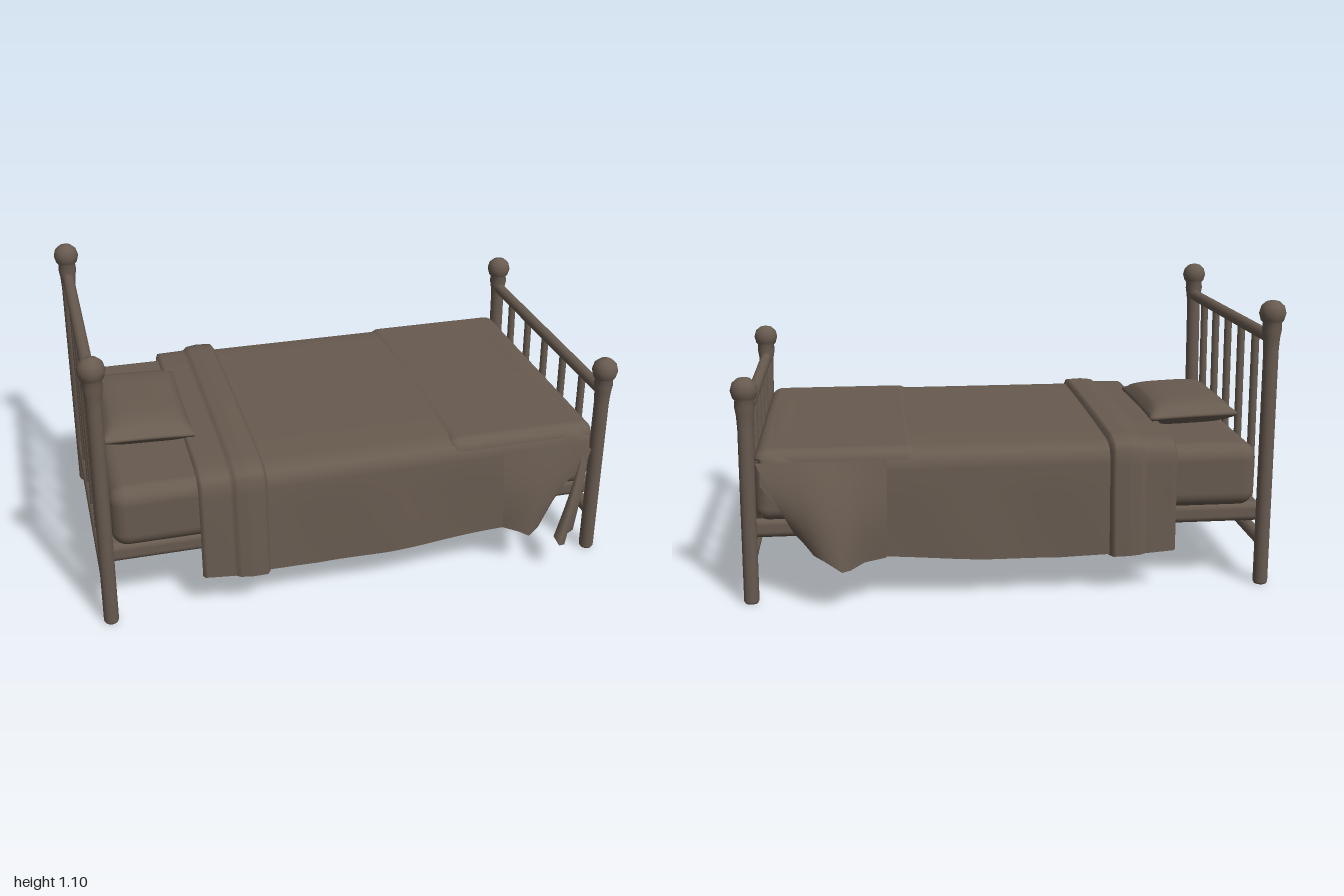
import * as THREE from 'three';
import { RoundedBoxGeometry } from 'three/addons/geometries/RoundedBoxGeometry.js';
import { mergeVertices } from 'three/addons/utils/BufferGeometryUtils.js';

const brown = new THREE.MeshStandardMaterial({ color: 0x685b50, side: THREE.DoubleSide });
brown.name = 'dull brown';
const UP = new THREE.Vector3(0, 1, 0);
const V = (x, y, z) => new THREE.Vector3(x, y, z);

function add(parent, name, geometry, x = 0, y = 0, z = 0) {
  const mesh = new THREE.Mesh(geometry, brown);
  mesh.name = name;
  mesh.position.set(x, y, z);
  parent.add(mesh);
  return mesh;
}

// Round bar between two points
function bar(parent, name, a, b, r) {
  const d = b.clone().sub(a);
  const mesh = add(parent, name, new THREE.CylinderGeometry(r, r, d.length(), 14));
  mesh.position.copy(a).add(b).multiplyScalar(0.5);
  mesh.quaternion.setFromUnitVectors(UP, d.normalize());
}

// Slightly leaning post with a flared neck and ball finial
function post(parent, name, foot, ball) {
  const d = ball.clone().sub(foot), h = d.length();
  const profile = [[0, 0], [0.024, 0], [0.028, 0.008], [0.028, h - 0.14], [0.031, h - 0.09],
    [0.036, h - 0.06], [0.034, h - 0.035], [0.042, h - 0.026], [0.049, h], [0.042, h + 0.026],
    [0.024, h + 0.042], [0, h + 0.048]].map(p => new THREE.Vector2(...p));
  const mesh = add(parent, name, new THREE.LatheGeometry(profile, 18));
  mesh.position.copy(foot);
  mesh.quaternion.setFromUnitVectors(UP, d.normalize());
}

// Smooth surface through a grid of points
function surface(rows) {
  const n = rows[0].length, index = [];
  for (let i = 0; i < rows.length - 1; i++) {
    for (let j = 0; j < n - 1; j++) {
      const a = i * n + j, b = a + n;
      index.push(a, a + 1, b, b, a + 1, b + 1);
    }
  }
  const g = new THREE.BufferGeometry().setFromPoints(rows.flat());
  g.setIndex(index);
  g.computeVertexNormals();
  return g;
}

// Linear lookup in a short table of [x, value]
function lookup(table, x) {
  for (let i = 1; i < table.length; i++) {
    const [x0, v0] = table[i - 1], [x1, v1] = table[i];
    if (x <= x1) return v0 + (v1 - v0) * (x - x0) / (x1 - x0);
  }
  return table[table.length - 1][1];
}

// Cloth draped over the bed: a cross-section swept along x
function drape(x0, x1, steps, hem, offset) {
  const rows = [];
  for (let i = 0; i <= steps; i++) {
    const x = x0 + (x1 - x0) * i / steps;
    const h = lookup(hem, x), o = lookup(offset, x);
    const wave = 0.006 * Math.sin(x * 11);
    const side = [[0.572 + wave, h], [0.568 + wave, h + (0.5 - h) * 0.35], [0.564, h + (0.5 - h) * 0.7],
      [0.56, 0.5], [0.554, 0.53], [0.538, 0.553], [0.51, 0.567], [0.46, 0.572], [0.25, 0.575]];
    const right = side.map(([z, y], k) => V(x, y + (k > 3 ? o : 0), z + (k < 6 ? o : 0)));
    const left = right.map(p => V(p.x, p.y, -p.z)).reverse();
    rows.push([...right, V(x, 0.576 + o, 0), ...left]);
  }
  return surface(rows);
}

// Loose cloth fanning out from a short top edge to a pleated hem, with a belly
function fan(top0, top1, hem, belly) {
  const rows = [];
  for (let i = 0; i <= 8; i++) {
    const t = i / 8;
    rows.push(hem.map((p, k) => {
      const q = top0.clone().lerp(top1, k / (hem.length - 1)).lerp(V(...p), t);
      q.z += belly * Math.sin(Math.PI * t);
      return q;
    }));
  }
  return surface(rows);
}

function pillowGeometry(w, h, d) {
  let g = new THREE.BoxGeometry(2, 2, 2, 18, 4, 22);
  g.deleteAttribute('uv');
  g.deleteAttribute('normal');
  g = mergeVertices(g);
  const p = g.attributes.position;
  for (let i = 0; i < p.count; i++) {
    const u = p.getX(i), v = p.getY(i), s = p.getZ(i);
    const puff = 0.22 + 0.78 * Math.pow((1 - u ** 4) * (1 - s ** 4), 0.55);
    const round = 1 - 0.04 * v * v;
    p.setXYZ(i, u * round * (0.97 + 0.03 * s * s) * w / 2, v * puff * h / 2,
      s * round * (0.98 + 0.02 * u * u) * d / 2);
  }
  g.computeVertexNormals();
  return g;
}

// Posts, rails and spindles of one bed end
function bedEnd(name, x, topX, ballY, railY, footZ, topZ) {
  const g = new THREE.Group();
  g.name = name;
  for (const s of [1, -1]) post(g, 'post', V(x, 0, s * footZ), V(topX, ballY, s * topZ));
  const at = y => x + (topX - x) * y / ballY;
  bar(g, 'topRail', V(at(railY), railY, -topZ), V(at(railY), railY, topZ), 0.023);
  bar(g, 'lowerRail', V(at(0.17), 0.17, -footZ), V(at(0.17), 0.17, footZ), 0.025);
  for (let i = -2; i <= 2; i++) {
    bar(g, 'spindle', V(at(0.17), 0.17, i * 0.177), V(at(railY), railY, i * 0.179), 0.015);
  }
  return g;
}

export function createModel() {
  const bed = new THREE.Group();
  bed.name = 'bed';
  bed.add(bedEnd('headboard', -0.967, -0.955, 1.047, 0.955, 0.53, 0.546));
  bed.add(bedEnd('footboard', 0.957, 0.947, 0.803, 0.712, 0.525, 0.535));

  // Base and mattress, with the tucked blanket end over the foot
  add(bed, 'base', new RoundedBoxGeometry(1.92, 0.075, 1.03, 3, 0.025), -0.005, 0.278, 0);
  add(bed, 'mattress', new RoundedBoxGeometry(1.82, 0.245, 1.08, 6, 0.06), -0.025, 0.428, 0);
  add(bed, 'tuckedBlanketEnd', new RoundedBoxGeometry(0.6, 0.265, 1.1, 6, 0.05), 0.63, 0.445, 0);

  const pillow = add(bed, 'pillow', pillowGeometry(0.345, 0.105, 0.55), -0.752, 0.6, -0.007);
  pillow.rotation.z = -0.04;

  // Blanket and its turned-down top
  const hem = [[-0.62, 0.16], [-0.37, 0.155], [-0.18, 0.145], [0.1, 0.152], [0.4, 0.17], [0.6, 0.185],
    [0.66, 0.2], [0.74, 0.28], [0.84, 0.38], [0.91, 0.46]];
  add(bed, 'blanket', drape(-0.61, 0.905, 60, hem, [[-0.61, 0], [0.78, 0], [0.86, 0.006], [0.905, -0.004]]));
  add(bed, 'blanketFold', drape(-0.62, -0.365, 34, [[-0.62, 0.16], [-0.37, 0.15]],
    [[-0.62, -0.006], [-0.612, 0.006], [-0.5, 0.008], [-0.485, 0.018], [-0.44, 0.023], [-0.38, 0.02], [-0.365, -0.004]]));

  // Loose corners at the foot
  add(bed, 'backCornerFlap', fan(V(0.45, 0.54, -0.56), V(0.92, 0.54, -0.56), [
    [0.46, 0.175, -0.58], [0.54, 0.17, -0.61], [0.59, 0.16, -0.66], [0.62, 0.16, -0.68],
    [0.68, 0.2, -0.67], [0.72, 0.21, -0.63], [0.75, 0.24, -0.6], [0.79, 0.28, -0.58]], -0.02));
  add(bed, 'frontCornerFlap', fan(V(0.55, 0.5, 0.56), V(0.9, 0.52, 0.56), [
    [0.56, 0.185, 0.575], [0.62, 0.17, 0.6], [0.66, 0.15, 0.61], [0.7, 0.18, 0.6], [0.74, 0.24, 0.58]], 0.01));
  add(bed, 'frontCornerTail', fan(V(0.88, 0.5, 0.555), V(0.92, 0.47, 0.55), [
    [0.79, 0.14, 0.6], [0.745, 0.16, 0.65], [0.76, 0.13, 0.675], [0.79, 0.12, 0.66],
    [0.8, 0.16, 0.64], [0.83, 0.17, 0.64], [0.82, 0.13, 0.61], [0.79, 0.14, 0.6]], 0.01));

  // Diagonal tucks across the foot end
  for (const [s, reach, top] of [[-1, 0.19, 0.55], [1, 0.4, 0.45]]) {
    add(bed, 'footTuck', fan(V(0.925, top, s * 0.53), V(0.9, top, s * 0.55), [
      [0.934, 0.32, s * reach], [0.938, 0.315, s * (reach + 0.06)],
      [0.934, 0.315, s * 0.5], [0.9, 0.33, s * 0.545]], 0));
  }
  return bed;
}
